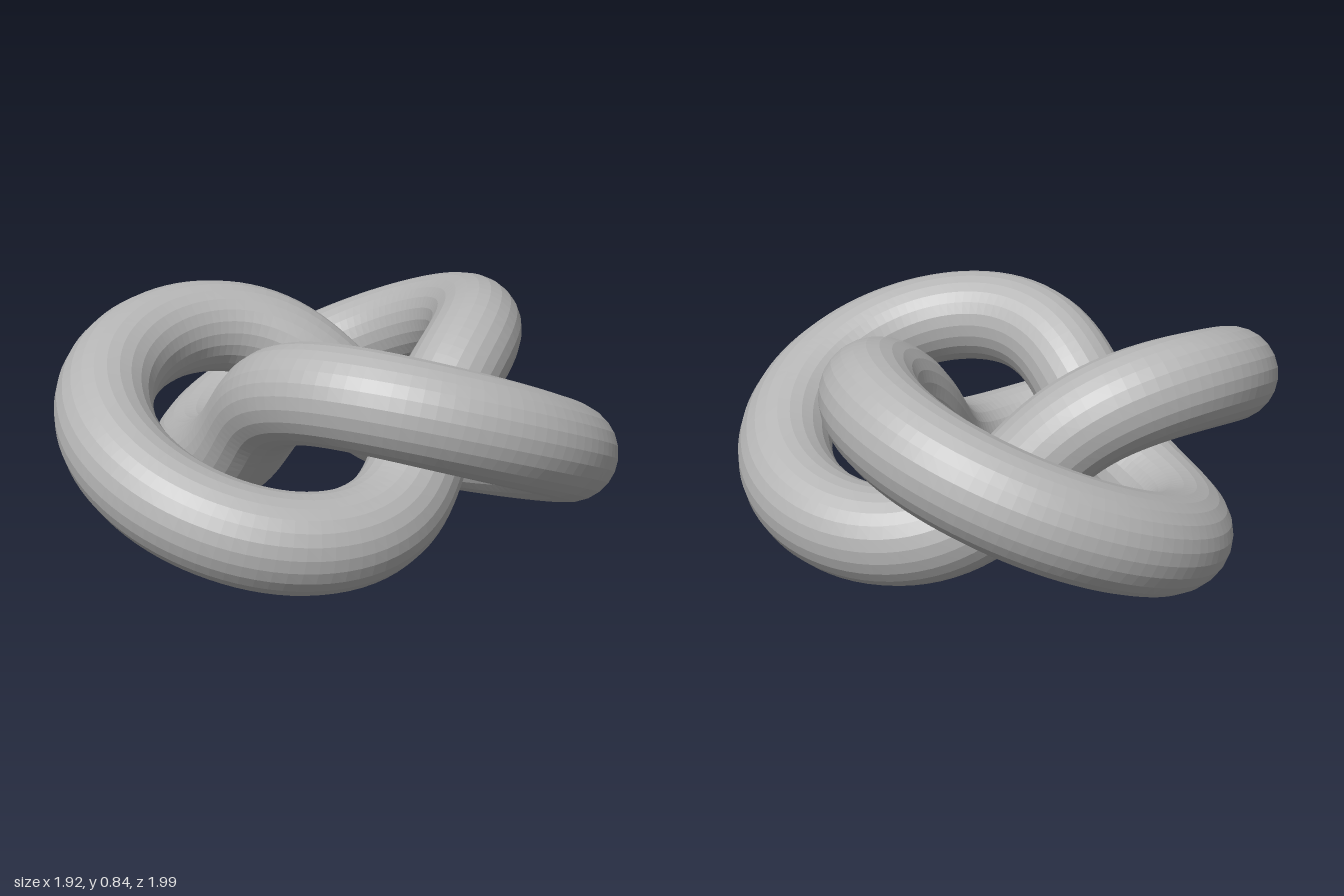
import * as THREE from 'three';

// Trefoil centreline winding on a torus whose axis is y
class TrefoilCurve extends THREE.Curve {
  constructor(ringRadius, windRadius) {
    super();
    this.ringRadius = ringRadius;
    this.windRadius = windRadius;
    this.arcLengthDivisions = 800;
  }
  getPoint(u, target = new THREE.Vector3()) {
    const t = u * Math.PI * 2;
    const rho = this.ringRadius + this.windRadius * Math.cos(3 * t);
    return target.set(
      rho * Math.cos(2 * t),
      this.windRadius * Math.sin(3 * t),
      rho * Math.sin(2 * t)
    );
  }
}

export function createModel() {
  const group = new THREE.Group();
  group.name = 'trefoilKnot';

  const grey = new THREE.MeshStandardMaterial({ color: 0xb4b4b4, flatShading: true });
  grey.name = 'grey';

  // One closed round tube
  const wind = 0.249, tube = 0.173;
  const curve = new TrefoilCurve(0.622, wind);
  const knot = new THREE.Mesh(new THREE.TubeGeometry(curve, 240, tube, 24, true), grey);
  knot.name = 'knotTube';

  // Stand on the ground and centre the footprint
  knot.position.set(-0.084, wind + tube, 0);
  group.add(knot);
  return group;
}
